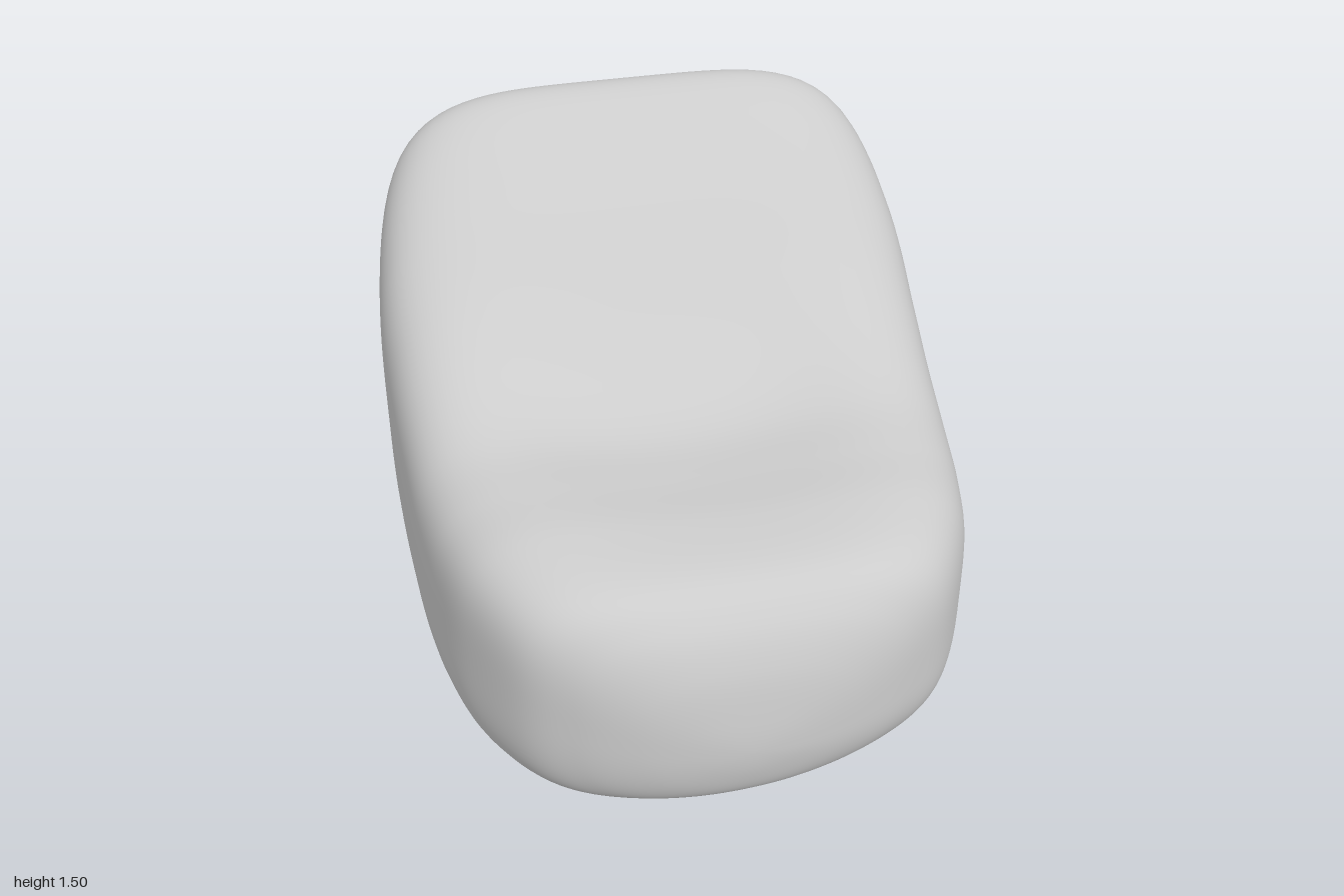
import * as THREE from 'three';
import { mergeVertices } from 'three/addons/utils/BufferGeometryUtils.js';

// Stations from front to back: z, half width, underside height, top height
const STATIONS = [
  [1.0, 0, 0.38, 0.38],
  [0.99, 0.155, 0.285, 0.495],
  [0.96, 0.31, 0.205, 0.64],
  [0.9, 0.46, 0.155, 0.76],
  [0.8, 0.59, 0.118, 0.84],
  [0.6, 0.7, 0.078, 0.88],
  [0.4, 0.755, 0.05, 0.895],
  [0.2, 0.785, 0.03, 0.928],
  [0.0, 0.8, 0.02, 1.012],
  [-0.2, 0.81, 0.015, 1.14],
  [-0.4, 0.81, 0.018, 1.305],
  [-0.6, 0.78, 0.038, 1.45],
  [-0.74, 0.73, 0.085, 1.493],
  [-0.85, 0.645, 0.185, 1.42],
  [-0.92, 0.53, 0.33, 1.28],
  [-0.97, 0.355, 0.49, 1.09],
  [-0.992, 0.18, 0.63, 0.92],
  [-1.0, 0, 0.76, 0.76],
];

// Cushion lofted from rounded-square cross-sections
function cushionGeometry(rings = 140, sides = 144) {
  // Mirrored stations past each tip keep the ends round
  const mirror = ([z, w, lo, hi]) => [z, -w, hi, lo];
  const pts = [mirror(STATIONS[1]), ...STATIONS, mirror(STATIONS.at(-2))];
  const spline = (f) => new THREE.CatmullRomCurve3(pts.map(f), false, 'catmullrom', 0.5);
  const plan = spline((s) => new THREE.Vector3(s[0], s[1], 0));
  const side = spline((s) => new THREE.Vector3(s[2], s[3], 0));

  const pos = [];
  const index = [];
  for (let i = 0; i <= rings; i++) {
    const t = (1 + (i / rings) * (STATIONS.length - 1)) / (pts.length - 1);
    const { x: z, y: w } = plan.getPoint(t);
    const { x: lo, y: hi } = side.getPoint(t);
    const mid = (lo + hi) / 2;
    const h = (hi - lo) / 2;
    const square = 2.2 + 2.0 * (1 - Math.min(1, Math.abs(z)) ** 8);

    for (let j = 0; j < sides; j++) {
      const a = (j / sides) * Math.PI * 2;
      const c = Math.cos(a);
      const s = Math.sin(a);
      const n = square + 0.5 * s;
      const r = (Math.abs(c) ** n + Math.abs(s) ** n) ** (-1 / n);
      const x = w * c * r;
      const up = s * r;
      let y = mid + h * up;

      // Seat hollow, slight sag of the lip and a soft bulge on its right side
      const top = THREE.MathUtils.smoothstep(up, 0, 1);
      const hollow = 0.06 * Math.exp(-((z - 0.08) ** 2) / 0.08 - ((x + 0.03) / 0.5) ** 4);
      const sag = 0.038 * Math.exp(-((z - 0.4) ** 2) / 0.16 - (x / 0.42) ** 2);
      const bulge = 0.012 * Math.exp(-((x + 0.5) ** 2) / 0.05 - (z - 0.45) ** 2 / 0.08);
      y += top * (bulge - hollow - sag);

      // Underside slopes up towards the left
      y += 0.065 * x * THREE.MathUtils.smoothstep(-up, 0, 1);
      pos.push(x, y, z);

      if (i < rings) {
        const k = (j + 1) % sides;
        const p = i * sides;
        const q = p + sides;
        if (i > 0) index.push(p + j, q + j, p + k);
        if (i < rings - 1) index.push(p + k, q + j, q + k);
      }
    }
  }
  let geo = new THREE.BufferGeometry();
  geo.setAttribute('position', new THREE.Float32BufferAttribute(pos, 3));
  geo.setIndex(index);
  geo = mergeVertices(geo, 1e-5);
  geo.computeBoundingBox();
  geo.translate(0, -geo.boundingBox.min.y, 0);
  geo.computeVertexNormals();
  return geo;
}

export function createModel() {
  const group = new THREE.Group();
  group.name = 'beanbagChair';
  const cushion = new THREE.Mesh(
    cushionGeometry(),
    new THREE.MeshStandardMaterial({ color: 0xcccccc }),
  );
  cushion.name = 'cushion';
  group.add(cushion);
  return group;
}
